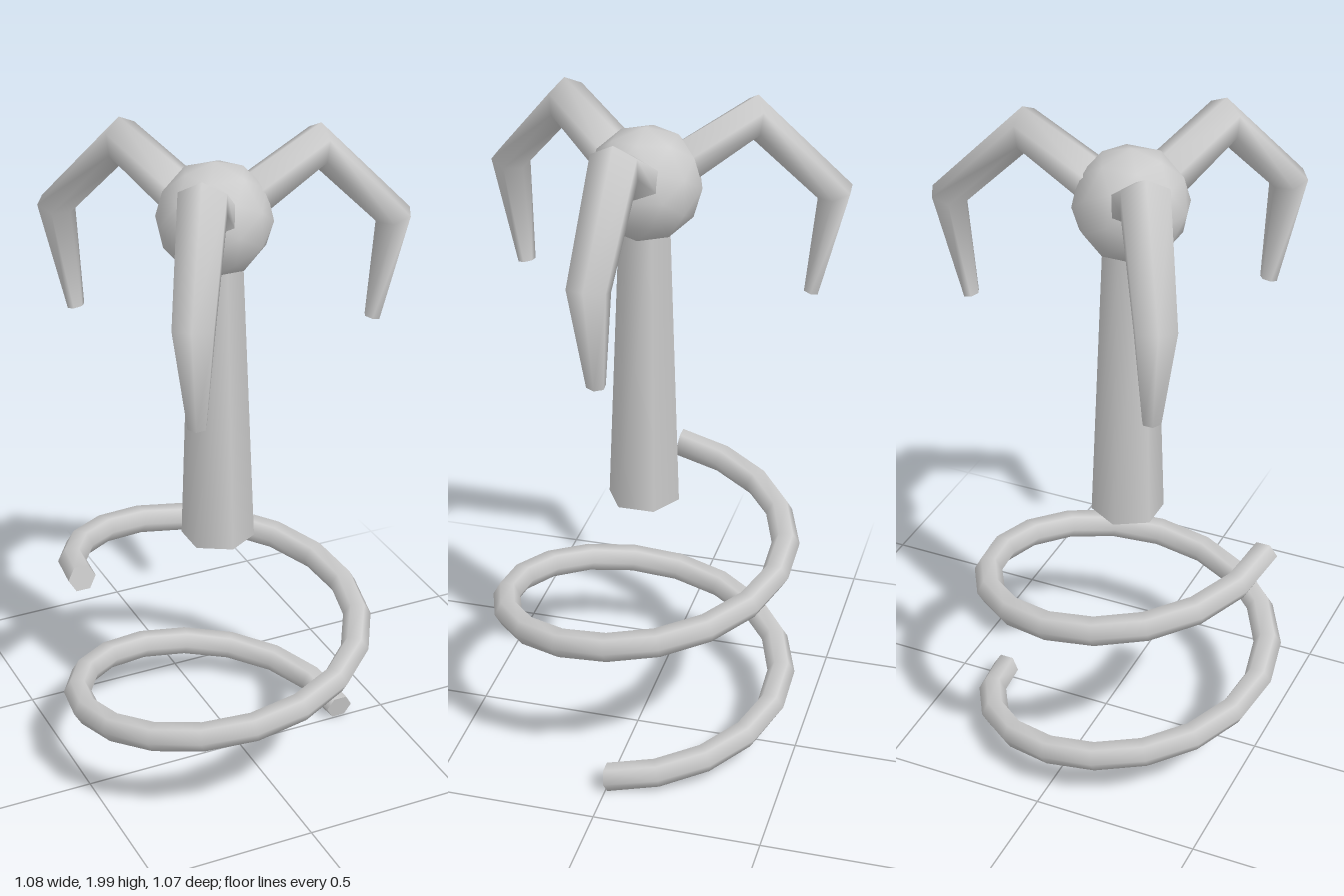
import * as THREE from 'three';

const SIDES = 6;
const AXIS_X = -0.075;

// Skins a list of rings {centre, tangent, u, ru, rv} into a capped smooth tube.
function loft(rings) {
  const pos = [], index = [];
  const addRing = ({ centre, tangent, u, ru, rv }) => {
    const start = pos.length / 3;
    const v = new THREE.Vector3().crossVectors(tangent, u);
    for (let i = 0; i < SIDES; i++) {
      const t = (i / SIDES) * Math.PI * 2;
      const p = centre.clone().addScaledVector(u, ru * Math.cos(t)).addScaledVector(v, rv * Math.sin(t));
      pos.push(p.x, p.y, p.z);
    }
    return start;
  };
  const starts = rings.map(addRing);
  for (let k = 0; k < rings.length - 1; k++) {
    const a = starts[k], b = starts[k + 1];
    for (let i = 0; i < SIDES; i++) {
      const j = (i + 1) % SIDES;
      index.push(a + i, a + j, b + j, a + i, b + j, b + i);
    }
  }
  // flat end caps with their own vertices
  const first = addRing(rings[0]), last = addRing(rings[rings.length - 1]);
  for (let i = 1; i < SIDES - 1; i++) {
    index.push(first, first + i + 1, first + i, last, last + i, last + i + 1);
  }
  const geo = new THREE.BufferGeometry();
  geo.setAttribute('position', new THREE.Float32BufferAttribute(pos, 3));
  geo.setIndex(index);
  geo.computeVertexNormals();
  return geo;
}

// Coil of one and a half turns, rising from the +x side.
function coilGeometry() {
  const R = 0.425, steps = 27, y0 = 0.038, y1 = 0.73, sweep = Math.PI * 3;
  const rings = [];
  for (let k = 0; k <= steps; k++) {
    const f = k / steps, a = f * sweep;
    const u = new THREE.Vector3(Math.cos(a), 0, -Math.sin(a));
    const centre = u.clone().multiplyScalar(R).setY(y0 + (y1 - y0) * f);
    const tangent = new THREE.Vector3(-Math.sin(a) * R, (y1 - y0) / sweep, -Math.cos(a) * R).normalize();
    rings.push({ centre, tangent, u, ru: 0.042, rv: 0.042 });
  }
  return loft(rings);
}

// Claw bent at an elbow and a knuckle, reaching out along +x.
function clawGeometry() {
  // radial distance, height, in-plane radius, sideways radius
  const path = [
    [0.11, 1.815, 0.062, 0.078],
    [0.315, 1.932, 0.063, 0.074],
    [0.56, 1.685, 0.054, 0.062],
    [0.5, 1.38, 0.023, 0.028],
  ];
  const pts = path.map(([x, y]) => new THREE.Vector3(x, y, 0));
  const dir = (i) => pts[i + 1].clone().sub(pts[i]).normalize();
  const rings = pts.map((centre, i) => {
    const tangent = new THREE.Vector3();
    if (i > 0) tangent.add(dir(i - 1));
    if (i < pts.length - 1) tangent.add(dir(i));
    tangent.normalize();
    const u = new THREE.Vector3(-tangent.y, tangent.x, 0);
    return { centre, tangent, u, ru: path[i][2], rv: path[i][3] };
  });
  return loft(rings);
}

export function createModel() {
  const model = new THREE.Group();
  model.name = 'grapplingHook';
  const material = new THREE.MeshStandardMaterial({ color: 0xcccccc });
  const add = (name, geometry, y = 0) => {
    const mesh = new THREE.Mesh(geometry, material);
    mesh.name = name;
    mesh.position.set(AXIS_X, y, 0);
    model.add(mesh);
    return mesh;
  };

  add('coil', coilGeometry());

  // tapered six-sided shaft running up into the hub
  add('shaft', new THREE.CylinderGeometry(0.074, 0.107, 0.885, SIDES), 0.775 + 0.885 / 2).position.x = -0.07;
  add('hub', new THREE.IcosahedronGeometry(0.164, 1), 1.767);

  // three claws around the hub
  const claw = clawGeometry();
  ['leftClaw', 'rearClaw', 'frontClaw'].forEach((name, i) => {
    add(name, claw).rotation.y = (i * Math.PI * 2) / 3;
  });

  return model;
}
